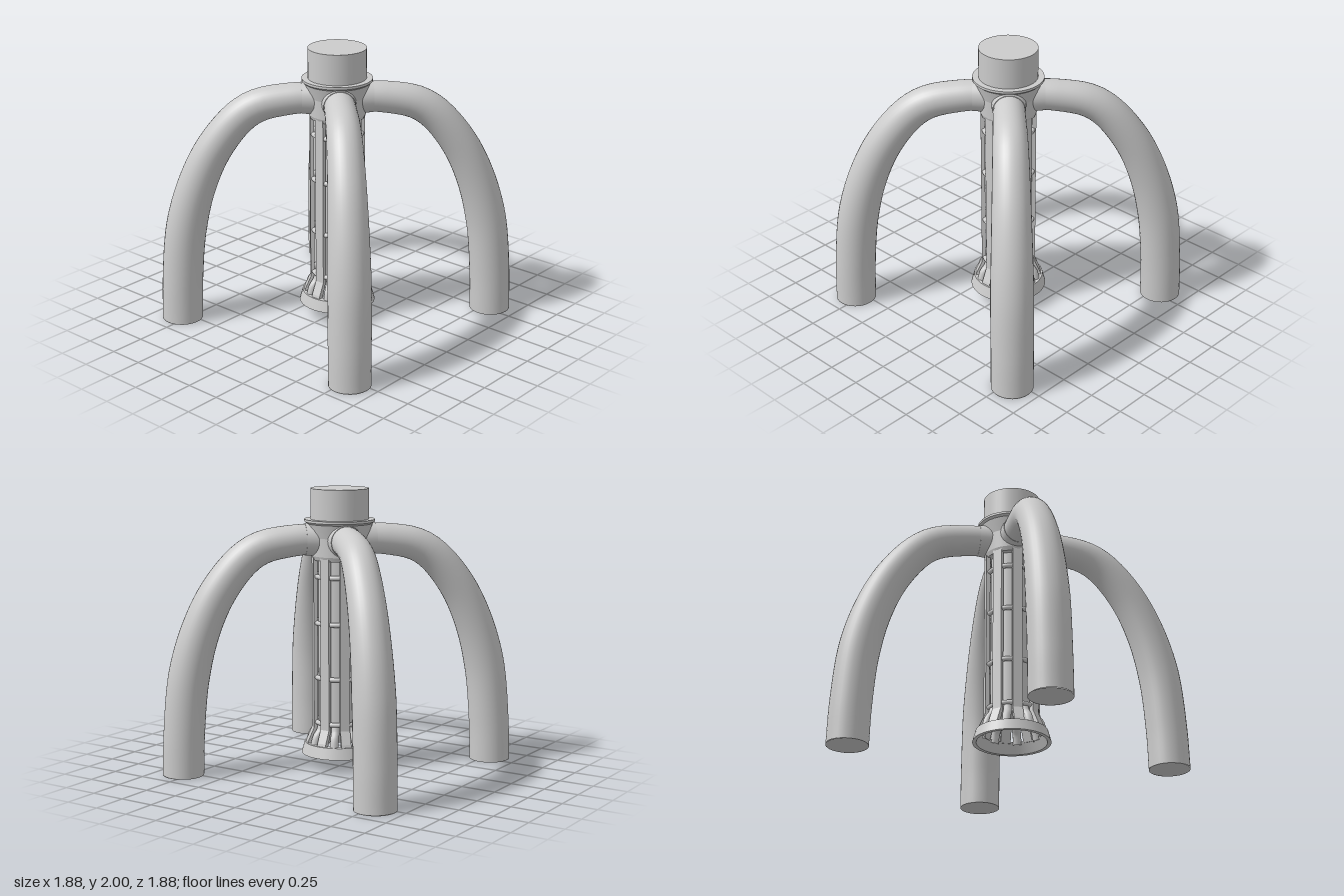
import * as THREE from 'three';

const mat = new THREE.MeshStandardMaterial({ color: 0xcccccc, side: THREE.DoubleSide });

function add(parent, name, geometry) {
  const mesh = new THREE.Mesh(geometry, mat);
  mesh.name = name;
  parent.add(mesh);
  return mesh;
}

// Lathe with hard edges: every profile segment gets its own smooth band
function turned(parent, name, profile, sides = 40) {
  const group = new THREE.Group();
  group.name = name;
  for (let i = 0; i < profile.length - 1; i++) {
    const pts = [profile[i], profile[i + 1]].map(([r, y]) => new THREE.Vector2(r, y));
    add(group, name + 'Band', new THREE.LatheGeometry(pts, sides));
  }
  parent.add(group);
}

// Leg: tube bent in the XY plane that grows thicker towards the foot
function legGeometry() {
  const path = new THREE.CatmullRomCurve3(
    [[0.08, 1.65], [0.24, 1.637], [0.39, 1.595], [0.485, 1.51], [0.61, 1.29],
      [0.7, 1.02], [0.76, 0.7], [0.788, 0.3], [0.795, 0]]
      .map(([x, y]) => new THREE.Vector3(x * Math.SQRT2, y, 0)));
  const rows = 40, sides = 32;
  const geo = new THREE.TubeGeometry(path, rows, 1, sides, false);
  const pos = geo.attributes.position, v = new THREE.Vector3();
  for (let i = 0; i <= rows; i++) {
    const u = i / rows, c = path.getPointAt(u);
    const r = 0.105 + 0.04 * Math.min(1, u * 1.5);
    for (let j = 0; j <= sides; j++) {
      const k = i * (sides + 1) + j;
      v.fromBufferAttribute(pos, k).sub(c).multiplyScalar(r).add(c);
      pos.setXYZ(k, v.x, Math.max(0, v.y), v.z);
    }
  }
  return geo;
}

export function createModel() {
  const model = new THREE.Group();
  model.name = 'fourLeggedStand';

  // Top cap, flange and hub
  turned(model, 'topCap', [[0, 1.76], [0.205, 1.76], [0.205, 2], [0, 2]]);
  turned(model, 'hub', [[0, 1.5], [0.188, 1.5], [0.2, 1.53], [0.205, 1.66], [0.232, 1.755],
    [0.248, 1.768], [0.248, 1.785], [0.205, 1.785]]);

  // Four legs with collars
  const legGeo = legGeometry();
  for (let i = 0; i < 4; i++) {
    const leg = new THREE.Group();
    leg.name = 'leg' + (i + 1);
    leg.rotation.y = Math.PI / 4 + i * Math.PI / 2;
    add(leg, 'legTube', legGeo);
    const sole = add(leg, 'legSole', new THREE.CircleGeometry(0.145, 32));
    sole.rotation.x = Math.PI / 2;
    sole.position.set(0.795 * Math.SQRT2, 0.001, 0);
    const collar = add(leg, 'legCollar', new THREE.CylinderGeometry(0.112, 0.122, 0.12, 32));
    collar.rotation.z = -Math.PI / 2;
    collar.position.set(0.19, 1.645, 0);
    model.add(leg);
  }

  // Cage: eight flat bars that flare at the bottom
  const cage = new THREE.Group();
  cage.name = 'cage';
  model.add(cage);
  const barShape = new THREE.Shape([[0.165, 1.52], [0.165, 0.3], [0.205, 0.18], [0.24, 0.18],
    [0.232, 0.21], [0.193, 0.3], [0.193, 1.52]].map(([x, y]) => new THREE.Vector2(x, y)));
  const barGeo = new THREE.ExtrudeGeometry(barShape, { depth: 0.07, bevelEnabled: false });
  barGeo.translate(0, 0, -0.035);
  // Small outward-bent pegs between the bars
  const pegPath = new THREE.CatmullRomCurve3([[0.15, 0.32], [0.165, 0.28], [0.195, 0.24], [0.215, 0.17]]
    .map(([x, y]) => new THREE.Vector3(x, y, 0)));
  const pegGeo = new THREE.TubeGeometry(pegPath, 10, 0.03, 12);
  for (let i = 0; i < 8; i++) {
    add(cage, 'cageBar', barGeo).rotation.y = i * Math.PI / 4;
    add(cage, 'cagePeg', pegGeo).rotation.y = (i + 0.5) * Math.PI / 4;
  }
  for (const y of [0.34, 0.665, 1.055, 1.385]) {
    const ring = add(cage, 'cageRing', new THREE.TorusGeometry(0.172, 0.017, 12, 48));
    ring.rotation.x = Math.PI / 2;
    ring.position.y = y;
  }

  // Inner core behind the bars
  const core = add(cage, 'cageCore', new THREE.CylinderGeometry(0.15, 0.15, 1.2, 32));
  core.position.y = 0.91;

  // Hollow flared base ring
  turned(model, 'baseRing', [[0.205, 0.19], [0.25, 0.19], [0.272, 0.11], [0.245, 0.11], [0.205, 0.19]]);
  return model;
}
